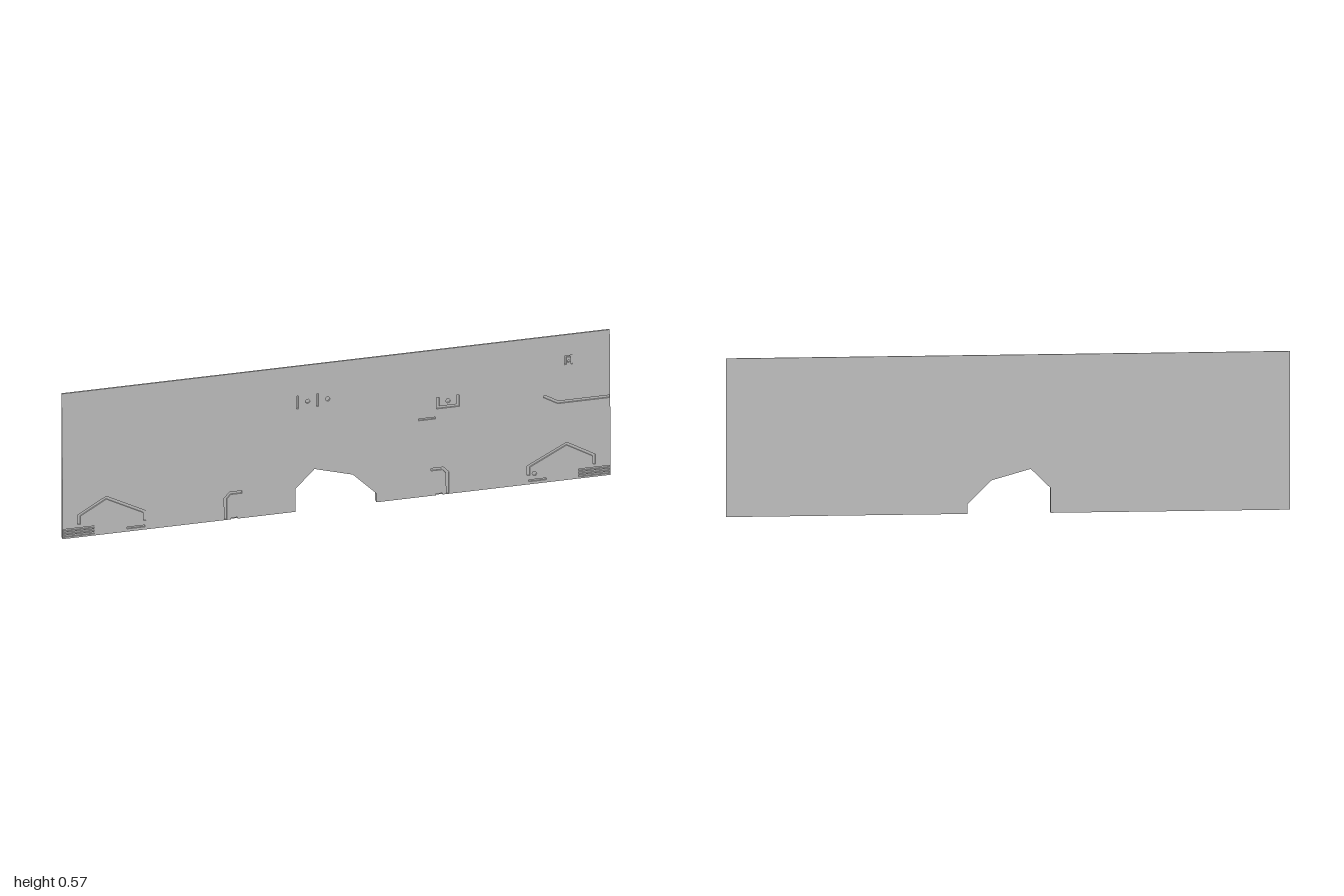
import * as THREE from 'three';

const HEIGHT = 0.573, BACK = -0.01, GROOVE = 0.005;
// The wall face leans back from a thick foot to a thin top
const faceZ = (y) => 0.01 - 0.0145 * (y / HEIGHT);
const floorZ = (y) => faceZ(y) - GROOVE;

// Closed outline of a mitred stroke along a polyline
function stroke(points, width = 0.01) {
  const p = points.map(([x, y]) => new THREE.Vector2(x, y));
  const left = [], right = [];
  p.forEach((v, i) => {
    const a = p[Math.max(i - 1, 0)], b = p[Math.min(i + 1, p.length - 1)];
    const dirIn = i > 0 ? v.clone().sub(a).normalize() : b.clone().sub(v).normalize();
    const dirOut = i < p.length - 1 ? b.clone().sub(v).normalize() : dirIn;
    const nIn = new THREE.Vector2(-dirIn.y, dirIn.x);
    const n = nIn.clone().add(new THREE.Vector2(-dirOut.y, dirOut.x)).normalize();
    n.multiplyScalar(width / 2 / n.dot(nIn));
    left.push(v.clone().add(n));
    right.unshift(v.clone().sub(n));
  });
  return new THREE.Path([...left, ...right]);
}

const bar = (x0, x1, y, h = 0.007) => stroke([[x0, y], [x1, y]], h);

function dot(x, y, r) {
  const path = new THREE.Path();
  path.absarc(x, y, r, 0, Math.PI * 2, true);
  return path;
}

// Wall outline with the central opening; notches are cut into its foot
function wallShape(leftNotch = [], rightNotch = []) {
  return new THREE.Shape([
    [-1, 0], ...leftNotch, [-0.15, 0], [-0.15, 0.09], [-0.08, 0.16], [0.06, 0.12],
    [0.145, 0.035], [0.145, 0], ...rightNotch, [1, 0], [1, HEIGHT], [-1, HEIGHT],
  ].map(([x, y]) => new THREE.Vector2(x, y)));
}

const notch = (x0, x1) => [[x0, 0], [x0, 0.006], [x1, 0.006], [x1, 0]];

// Extrude a shape between two depth rules, leaving its foot open
function slab(shape, backRule, frontRule) {
  const source = new THREE.ExtrudeGeometry(shape, { depth: 1, bevelEnabled: false, curveSegments: 3 });
  const pos = source.attributes.position;
  const points = [];
  for (let i = 0; i < pos.count; i += 3) {
    const corners = [i, i + 1, i + 2].map((k) => new THREE.Vector3().fromBufferAttribute(pos, k));
    if (corners.every((c) => c.y < 1e-6)) continue;
    for (const c of corners) {
      c.z = c.z > 0.5 ? frontRule(c.y) : backRule(c.y);
      points.push(c);
    }
  }
  const g = new THREE.BufferGeometry().setFromPoints(points);
  g.computeVertexNormals();
  return g;
}

export function createModel() {
  const model = new THREE.Group();
  model.name = 'wallPanel';
  const grey = new THREE.MeshStandardMaterial({ color: 0xc8c8c8, side: THREE.DoubleSide });
  grey.name = 'wallGrey';

  const grooves = [];

  // Gable lines, brackets and foot vents on both sides
  for (const s of [-1, 1]) {
    grooves.push(
      stroke([[0.7, 0.035], [0.7, 0.07], [0.84, 0.143], [0.94, 0.085], [0.94, 0.05]].map(([x, y]) => [s * x, y])),
      stroke([[0.345, 0.103], [0.388, 0.103], [0.405, 0.085], [0.405, 0.001]].map(([x, y]) => [s * x, y])),
      bar(s * 0.7, s * 0.765, 0.014),
    );
    for (const y of [0.01, 0.022, 0.034]) grooves.push(bar(s * 0.883, s * 0.999, y));
  }
  grooves.push(dot(0.722, 0.04, 0.009));

  // Upper marks: two upright slots with dots
  for (const x of [-0.14, -0.067]) {
    grooves.push(stroke([[x, 0.405], [x, 0.455]], 0.007), dot(x + 0.037, 0.43, 0.009));
  }

  // Cradle, short slot, side channel and small arch
  grooves.push(
    stroke([[0.372, 0.385], [0.372, 0.345], [0.445, 0.345], [0.445, 0.385]]),
    dot(0.409, 0.367, 0.009),
    bar(0.3, 0.362, 0.305),
    stroke([[0.758, 0.34], [0.81, 0.31], [0.999, 0.31]]),
    stroke([[0.838, 0.455], [0.838, 0.487], [0.861, 0.487], [0.861, 0.455]], 0.006),
    dot(0.849, 0.467, 0.005),
  );

  const core = new THREE.Mesh(slab(wallShape(), () => BACK, floorZ), grey);
  core.name = 'wallCore';

  const facing = wallShape(notch(-0.386, -0.362), notch(0.362, 0.386));
  facing.holes.push(...grooves);
  const skin = new THREE.Mesh(slab(facing, floorZ, faceZ), grey);
  skin.name = 'groovedFacing';

  model.add(core, skin);
  return model;
}
